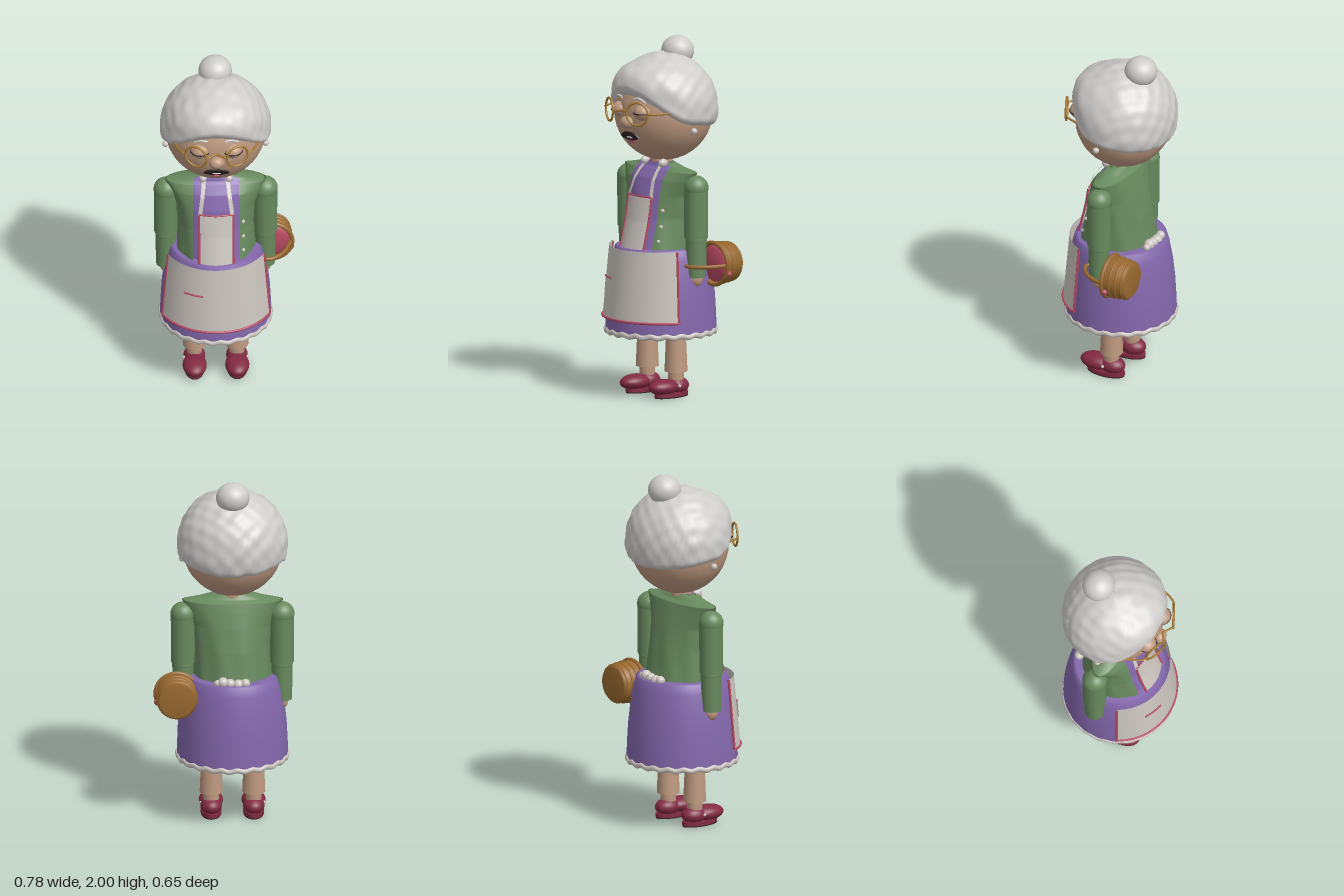
import * as THREE from 'three';
import { ParametricGeometry } from 'three/addons/geometries/ParametricGeometry.js';

const mat = (name, color, side = THREE.FrontSide) => {
  const m = new THREE.MeshStandardMaterial({ color, side });
  m.name = name;
  return m;
};
const M = {
  hair: mat('silver hair', 0xcfcdca, THREE.DoubleSide),
  apron: mat('apron linen', 0xcdc6c0, THREE.DoubleSide),
  skin: mat('skin', 0xbf9a80),
  dress: mat('purple dress', 0x8468ad, THREE.DoubleSide),
  jacket: mat('green jacket', 0x688a5e, THREE.DoubleSide),
  shoe: mat('wine shoe', 0x822a42),
  trim: mat('rose trim', 0xb84a62),
  wicker: mat('wicker', 0x9a6a30),
  gold: mat('gold frame', 0xa87c34),
  dark: mat('dark brown', 0x2f2426),
};
const V = (x, y, z) => new THREE.Vector3(x, y, z);
const CZ = 0;

// Bodice cross-sections: height, half width, front z, back z
const ROWS = [
  [0.82, 0.215, 0.225, -0.2], [1.0, 0.205, 0.175, -0.17], [1.13, 0.215, 0.15, -0.14],
  [1.22, 0.25, 0.115, -0.115], [1.27, 0.275, 0.075, -0.1], [1.285, 0.2, 0.06, -0.075], [1.315, 0.085, 0.05, -0.055],
];
function section(y) {
  let i = 0;
  while (i < ROWS.length - 2 && y > ROWS[i + 1][0]) i++;
  const [a, b] = [ROWS[i], ROWS[i + 1]];
  const t = (y - a[0]) / (b[0] - a[0]);
  return a.map((n, k) => n + (b[k] - n) * t);
}
// Height along the bodice with v spread evenly over the rows
function rowHeight(v) {
  const s = Math.min(v, 0.9999) * (ROWS.length - 1), i = Math.floor(s);
  return ROWS[i][0] + (ROWS[i + 1][0] - ROWS[i][0]) * (s - i);
}
function bodicePoint(y, a, k, p) {
  const [, rx, zf, zb] = section(y);
  const c = Math.cos(a);
  return p.set(rx * k * Math.sin(a), y, CZ + k * c * (c > 0 ? zf : -zb));
}
function frontZ(x, y) {
  const [, rx, zf] = section(y);
  return CZ + zf * Math.sqrt(Math.max(0, 1 - (x / rx) ** 2));
}

export function createModel() {
  const root = new THREE.Group();
  root.name = 'grandmother';
  const body = new THREE.Group();
  body.name = 'figure';
  body.position.x = -0.05;
  root.add(body);

  const add = (name, geo, m, pos = [0, 0, 0], scale = [1, 1, 1]) => {
    const mesh = new THREE.Mesh(geo, m);
    mesh.name = name;
    mesh.position.set(...pos);
    mesh.scale.set(...scale);
    body.add(mesh);
    return mesh;
  };
  const ball = (name, m, pos, r) => add(name, new THREE.SphereGeometry(1, 28, 20), m, pos, Array.isArray(r) ? r : [r, r, r]);
  const rod = (name, m, x, y0, y1, z, r0, r1) =>
    add(name, new THREE.CylinderGeometry(r1, r0, y1 - y0, 24), m, [x, (y0 + y1) / 2, z]);
  const tube = (name, m, pts, r, tension = 0.5) =>
    add(name, new THREE.TubeGeometry(new THREE.CatmullRomCurve3(pts, false, 'catmullrom', tension), 32, r, 8), m);
  const sheet = (name, m, fn, u, v) => add(name, new ParametricGeometry(fn, u, v), m);

  // Head and hair
  ball('head', M.skin, [0, 1.595, -0.025], [0.28, 0.28, 0.272]);
  sheet('hair', M.hair, (u, v, p) => {
    const phi = Math.PI + u * Math.PI * 2, c = Math.cos(phi), s = Math.sin(phi);
    const line = c > 0 ? 1.51 + 0.19 * c ** 2.2 : 1.51 + 0.05 * c;
    const th = 0.015 + v * (Math.acos((line - 1.61) / 0.31) - 0.015);
    const dx = Math.sin(th) * s, dy = Math.cos(th), dz = Math.sin(th) * c;
    let r = 1 + 0.15 * Math.max(0, c) ** 2 * Math.exp(-(((th - 1) / 0.35) ** 2));
    r += 0.012 * Math.sin(13 * dx + 4 * dy) * Math.sin(11 * dy + 3) * Math.sin(12 * dz + 5 * dx + 1);
    r += 0.008 * Math.sin(19 * dx - 7 * dz) * Math.sin(17 * dy + 9 * dz);
    r -= 0.2 * Math.max(0, (v - 0.88) / 0.12) ** 2;
    p.set(0.308 * r * dx, 1.61 + 0.31 * r * dy, -0.033 + 0.285 * r * dz);
  }, 80, 48);
  ball('hairBun', M.hair, [0, 1.915, -0.13], [0.093, 0.085, 0.091]);

  // Face
  ball('nose', M.skin, [0, 1.555, 0.25], [0.042, 0.036, 0.036]);
  const mouth = new THREE.Shape();
  mouth.moveTo(-0.072, -0.008);
  mouth.quadraticCurveTo(-0.045, 0.03, 0, 0.022);
  mouth.quadraticCurveTo(0.045, 0.03, 0.072, -0.008);
  mouth.quadraticCurveTo(0.04, -0.028, 0, -0.03);
  mouth.quadraticCurveTo(-0.04, -0.028, -0.072, -0.008);
  add('mouth', new THREE.ExtrudeGeometry(mouth, { depth: 0.009, bevelEnabled: false }), M.dark, [0, 1.48, 0.225]).rotation.x = 0.45;
  ball('lowerLip', M.trim, [0, 1.446, 0.213], [0.028, 0.009, 0.01]);
  ball('teeth', M.apron, [0, 1.468, 0.228], [0.025, 0.006, 0.007]);

  for (const s of [-1, 1]) {
    ball('eyelid', M.skin, [s * 0.09, 1.615, 0.21], [0.054, 0.045, 0.054]);
    const lash = add('lashLine', new THREE.TorusGeometry(0.054, 0.004, 6, 20, Math.PI), M.dark, [s * 0.09, 1.612, 0.21]);
    lash.rotation.x = Math.PI / 2;
    tube('eyebrow', M.hair, [V(s * 0.05, 1.69, 0.24), V(s * 0.085, 1.695, 0.235), V(s * 0.12, 1.675, 0.22)], 0.007);
    ball('earring', M.apron, [s * 0.278, 1.51, 0.0], 0.018);

    // Spectacles
    const lens = add('lensRim', new THREE.TorusGeometry(0.064, 0.0065, 8, 36), M.gold, [s * 0.114, 1.617, 0.277]);
    lens.rotation.y = s * 0.43;
    tube('temple', M.gold, [V(s * 0.172, 1.62, 0.25), V(s * 0.2, 1.62, 0.225), V(s * 0.245, 1.62, 0.11)], 0.006);

    // Arms
    const ax = s * 0.275, az = -0.018;
    ball('shoulder', M.jacket, [ax, 1.19, az], 0.069);
    rod('upperSleeve', M.jacket, ax, 0.91, 1.19, az, 0.066, 0.067);
    ball('elbow', M.jacket, [ax, 0.9, az], 0.06);
    rod('lowerSleeve', M.jacket, ax, 0.69, 0.9, az, 0.055, 0.059);
    ball('hand', M.skin, [ax, 0.68, az], [0.034, 0.047, 0.04]);

    // Legs
    const lx = s * 0.118;
    rod('thigh', M.skin, lx, 0.45, 0.8, -0.01, 0.07, 0.08);
    ball('knee', M.skin, [lx, 0.45, -0.01], [0.068, 0.06, 0.068]);
    rod('shin', M.skin, lx, 0.14, 0.44, -0.01, 0.064, 0.051);
    rod('ankle', M.skin, lx, 0.07, 0.15, -0.01, 0.042, 0.045);

    // Shoes
    ball('shoeToe', M.shoe, [lx, 0.06, 0.08], [0.067, 0.044, 0.1]);
    ball('shoeHeel', M.shoe, [lx, 0.06, -0.015], [0.06, 0.048, 0.075]);
    add('sole', new THREE.CylinderGeometry(1, 1, 0.022, 28), M.shoe, [lx, 0.017, 0.025], [0.058, 1, 0.115]);
    add('soleTread', new THREE.CylinderGeometry(1, 1, 0.006, 28), M.dark, [lx, 0.003, 0.025], [0.057, 1, 0.114]);
    ball('shoeButton', M.apron, [lx + s * 0.058, 0.065, 0.015], 0.009);

    // Apron straps, collar and bib edging
    sheet('apronStrap', M.apron, (u, v, p) => {
      const y = 1.12 + v * 0.185, x = s * (0.09 - v * 0.025) + (u - 0.5) * 0.022;
      p.set(x, y, frontZ(x, y) + 0.014);
    }, 2, 16);
    ball('collar', M.apron, [s * 0.072, 1.31, 0.045], [0.022, 0.024, 0.03]);
    const edge = [0.84, 0.93, 1.03, 1.13].map((y) => V(s * 0.095, y, frontZ(0.095, y) + 0.016));
    tube('bibTrim', M.trim, edge, 0.0065);
  }
  tube('glassesBridge', M.gold, [V(-0.055, 1.62, 0.304), V(0, 1.625, 0.265), V(0.055, 1.62, 0.304)], 0.006, 0);

  // Neck, bodice and open jacket
  rod('neck', M.skin, 0, 1.24, 1.36, -0.01, 0.06, 0.06);
  sheet('bodice', M.dress, (u, v, p) => bodicePoint(rowHeight(v), Math.PI + u * Math.PI * 2, 0.94, p), 48, 30);
  sheet('jacket', M.jacket, (u, v, p) => {
    const y = rowHeight(v), rx = section(y)[1];
    const a0 = Math.asin(Math.min(0.125 / rx, 0.8));
    const a = a0 + u * 2 * (Math.PI - a0);
    const fold = 1.02 + 0.015 * Math.sin(a * 9 + y * 8) * (1 - v);
    bodicePoint(y, a, fold, p);
  }, 72, 36);
  for (const y of [1.06, 0.97, 0.89]) ball('jacketButton', M.apron, [0.15, y, frontZ(0.15, y) + 0.006], 0.011);

  // Skirt with scalloped hem
  const profile = [[0.309, 0.36], [0.306, 0.45], [0.3, 0.56], [0.287, 0.68], [0.27, 0.78], [0.255, 0.835], [0.24, 0.842], [0.001, 0.845]];
  add('skirt', new THREE.LatheGeometry(profile.map(([r, y]) => new THREE.Vector2(r, y)), 56), M.dress, [0, 0, -0.005]);
  sheet('hem', M.apron, (u, v, p) => {
    const a = u * Math.PI * 2, b = v * Math.PI * 2, w = Math.sin(a * 22);
    const r = 0.306 + 0.011 * Math.cos(b);
    p.set(r * Math.sin(a), 0.365 + 0.005 * w + 0.016 * Math.sin(b), -0.005 + r * Math.cos(a));
  }, 132, 8);

  // Wrap apron with trim, bib and pocket
  const A = 1.113;
  const apronAt = (a, y, off = 0) => {
    const r = 0.3315 - (y - 0.44) * 0.09 + off;
    return V(r * Math.sin(a), y, -0.0165 + r * Math.cos(a));
  };
  sheet('apronSkirt', M.apron, (u, v, p) => p.copy(apronAt((u * 2 - 1) * A, 0.44 + v * 0.4)), 36, 8);
  const arc = [...Array(11).keys()].map((i) => apronAt((i / 5 - 1) * A, 0.445, 0.002));
  tube('apronHemTrim', M.trim, arc, 0.007);
  for (const s of [-1, 1]) tube('apronSideTrim', M.trim, [0.445, 0.65, 0.84].map((y) => apronAt(s * A, y)), 0.007);
  sheet('bib', M.apron, (u, v, p) => {
    const x = (u - 0.5) * 0.19, y = 0.83 + v * 0.3;
    p.set(x, y, frontZ(x, y) + 0.015);
  }, 12, 12);
  tube('bibTopTrim', M.trim, [-0.095, 0, 0.095].map((x) => V(x, 1.13, frontZ(x, 1.13) + 0.016)), 0.005);
  sheet('pocket', M.apron, (u, v, p) => p.copy(apronAt(-0.6 + u * 0.36, 0.585 + v * 0.085, 0.006)), 8, 2);
  tube('pocketTrim', M.trim, [-0.6, -0.42, -0.24].map((a) => apronAt(a, 0.672, 0.008)), 0.005);

  // Bow at the back of the waist
  for (const [x, y, r] of [[-0.07, 0.85, 0.026], [-0.03, 0.842, 0.03], [0.015, 0.848, 0.028], [0.055, 0.855, 0.03], [0.085, 0.85, 0.02]])
    ball('waistBow', M.apron, [x, y, -0.215], r);

  // Basket hanging sideways from the left forearm
  const basket = new THREE.Group();
  basket.name = 'basket';
  basket.position.set(0.31, 0.757, -0.25);
  basket.rotation.x = Math.PI / 2;
  body.add(basket);
  const wall = [[0.001, 0], [0.095, 0], [0.106, 0.012], [0.114, 0.07], [0.116, 0.135], [0.106, 0.135], [0.1, 0.1]];
  const part = (name, geo, m, y = 0) => {
    const mesh = new THREE.Mesh(geo, m);
    mesh.name = name;
    mesh.position.y = y;
    basket.add(mesh);
    return mesh;
  };
  part('basketWall', new THREE.LatheGeometry(wall.map(([r, y]) => new THREE.Vector2(r, y)), 40), M.wicker);
  for (const [y, r, t] of [[0.02, 0.105, 0.007], [0.055, 0.11, 0.007], [0.09, 0.113, 0.007], [0.135, 0.117, 0.012]])
    part('wickerBand', new THREE.TorusGeometry(r, t, 8, 40).rotateX(Math.PI / 2), M.wicker, y);
  part('basketCloth', new THREE.SphereGeometry(0.106, 28, 14).scale(1, 0.3, 1), M.trim, 0.115);
  ball('clothCorner', M.trim, [0.41, 0.71, -0.13], [0.026, 0.02, 0.022]);
  tube('basketHandle', M.wicker, [V(0.415, 0.757, -0.11), V(0.385, 0.757, -0.02), V(0.325, 0.757, 0.045),
    V(0.27, 0.757, 0.052), V(0.225, 0.757, -0.02), V(0.205, 0.757, -0.11)], 0.011);

  return root;
}
